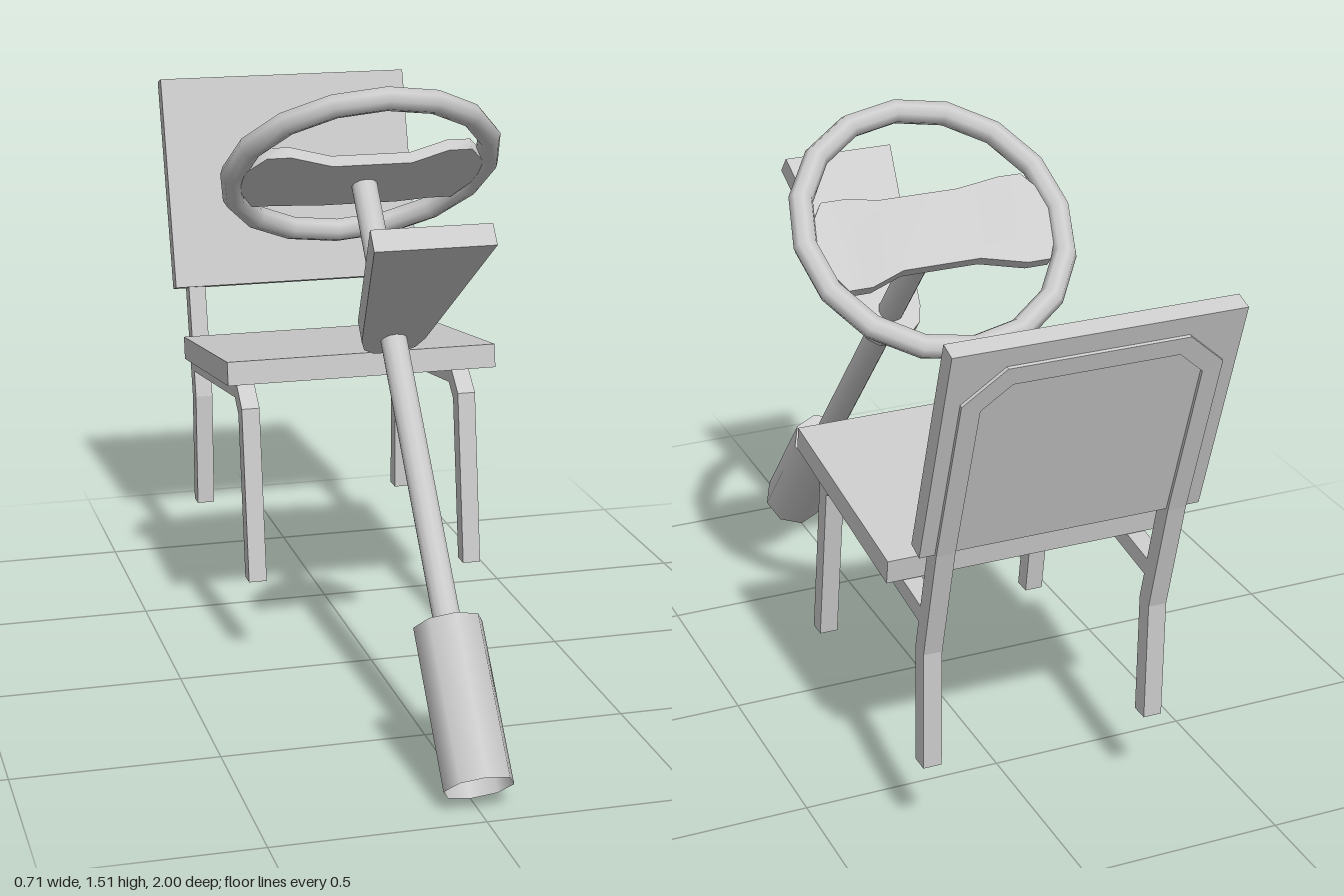
import * as THREE from 'three';

const flat = new THREE.MeshStandardMaterial({ color: 0xcccccc, flatShading: true });
const smooth = new THREE.MeshStandardMaterial({ color: 0xcccccc });
const open = new THREE.MeshStandardMaterial({ color: 0xcccccc, side: THREE.DoubleSide });

function add(parent, name, geometry, material, x = 0, y = 0, z = 0) {
  const mesh = new THREE.Mesh(geometry, material);
  mesh.name = name;
  mesh.position.set(x, y, z);
  parent.add(mesh);
  return mesh;
}

// Square bar swept along a bent path with mitred corners; the path starts upwards
function bar(path, size) {
  const p = path.map((a) => new THREE.Vector3(...a));
  const h = size / 2;
  const dir = (i) => p[i + 1].clone().sub(p[i]).normalize();
  let ring = [[h, h], [-h, h], [-h, -h], [h, -h]].map(([z, x]) => p[0].clone().add(new THREE.Vector3(x, 0, z)));
  const rings = [ring];
  for (let i = 1; i < p.length; i++) {
    const d = dir(i - 1);
    const n = i < p.length - 1 ? d.clone().add(dir(i)).normalize() : d;
    ring = ring.map((c) => c.clone().addScaledVector(d, p[i].clone().sub(c).dot(n) / d.dot(n)));
    rings.push(ring);
  }
  const tri = [];
  const quad = (a, b, c, d) => tri.push(a, b, c, a, c, d);
  quad(...[...rings[0]].reverse());
  quad(...ring);
  for (let i = 0; i < rings.length - 1; i++) {
    for (let k = 0; k < 4; k++) {
      const m = (k + 1) % 4;
      quad(rings[i][k], rings[i][m], rings[i + 1][m], rings[i + 1][k]);
    }
  }
  const geometry = new THREE.BufferGeometry().setFromPoints(tri);
  geometry.computeVertexNormals();
  return geometry;
}

function createChair() {
  const chair = new THREE.Group();
  chair.name = 'chair';

  // Cushions
  const seat = add(chair, 'seat', new THREE.BoxGeometry(0.7, 0.06, 0.58), flat, 0, 0.732, -0.366);
  seat.rotation.x = -0.137;
  const backrest = add(chair, 'backrest', new THREE.BoxGeometry(0.69, 0.576, 0.046), flat, 0, 1.097, -0.891);
  backrest.rotation.x = -0.303;

  // Front legs running into the seat rails
  for (const [side, s] of [['left', 1], ['right', -1]]) {
    const path = [[0.225, -0.075], [0.655, -0.135], [0.7, -0.19], [0.62, -0.765]];
    add(chair, side + 'FrontLegAndRail', bar(path.map(([y, z]) => [s * 0.285, y, z]), 0.046), flat);
  }

  // Back legs and the arch behind the backrest, in one bar
  const half = [[0.285, 0.225, -0.742], [0.285, 0.53, -0.742], [0.285, 0.82, -0.813],
    [0.285, 1.23, -0.941], [0.205, 1.3, -0.963]];
  const other = half.map(([x, y, z]) => [-x, y, z]).reverse();
  add(chair, 'backFrame', bar([...half, ...other], 0.046), flat);
  return chair;
}

function createSteering() {
  // Upright assembly, leaned back as a whole: y runs along the column
  const steering = new THREE.Group();
  steering.name = 'steeringColumn';
  steering.position.set(0, 0.056, 0.937);
  steering.rotation.x = -0.704;

  // Base sleeve, open underneath
  add(steering, 'baseSleeve', new THREE.CylinderGeometry(0.083, 0.083, 0.39, 8, 1, true), open, 0, 0.195, 0);
  const cap = add(steering, 'sleeveTop', new THREE.CircleGeometry(0.083, 8), open, 0, 0.39, 0);
  cap.rotation.x = -Math.PI / 2;
  add(steering, 'pole', new THREE.CylinderGeometry(0.033, 0.033, 1.19, 12), smooth, 0, 0.98, 0);

  // Tapered panel on the pole
  const right = [[0.145, 0.47], [0.08, 0], [0.065, -0.045], [0.035, -0.07]];
  const left = right.map(([x, y]) => [-x, y]).reverse();
  const outline = new THREE.Shape([...right, ...left].map(([x, y]) => new THREE.Vector2(x, y)));
  const panel = new THREE.ExtrudeGeometry(outline, { depth: 0.057, bevelEnabled: false });
  panel.rotateX(Math.PI / 2);
  add(steering, 'panel', panel, flat, 0, 1.177, 0);

  // Wheel rim
  const rim = add(steering, 'wheelRim', new THREE.TorusGeometry(0.327, 0.03, 8, 16), smooth, 0, 1.6, 0);
  rim.rotation.x = Math.PI / 2;

  // Wheel spoke: sections of [x, far edge, near edge, height], dished in the middle
  const sections = [[0.1, 0.105, -0.09, -0.03], [0.2, 0.105, -0.135, 0],
    [0.26, 0.105, -0.135, 0], [0.305, 0.04, -0.05, 0]];
  const spoke = new THREE.BoxGeometry(7, 0.03, 1, 7, 1, 1);
  const pos = spoke.attributes.position;
  for (let i = 0; i < pos.count; i++) {
    const x = pos.getX(i);
    const [w, far, near, lift] = sections[Math.round(Math.abs(x) - 0.5)];
    pos.setXYZ(i, Math.sign(x) * w, pos.getY(i) + lift, pos.getZ(i) > 0 ? far : near);
  }
  spoke.computeVertexNormals();
  add(steering, 'wheelSpoke', spoke, smooth, 0, 1.592, 0);
  return steering;
}

export function createModel() {
  const model = new THREE.Group();
  model.name = 'drivingSeat';
  model.add(createChair(), createSteering());
  return model;
}
